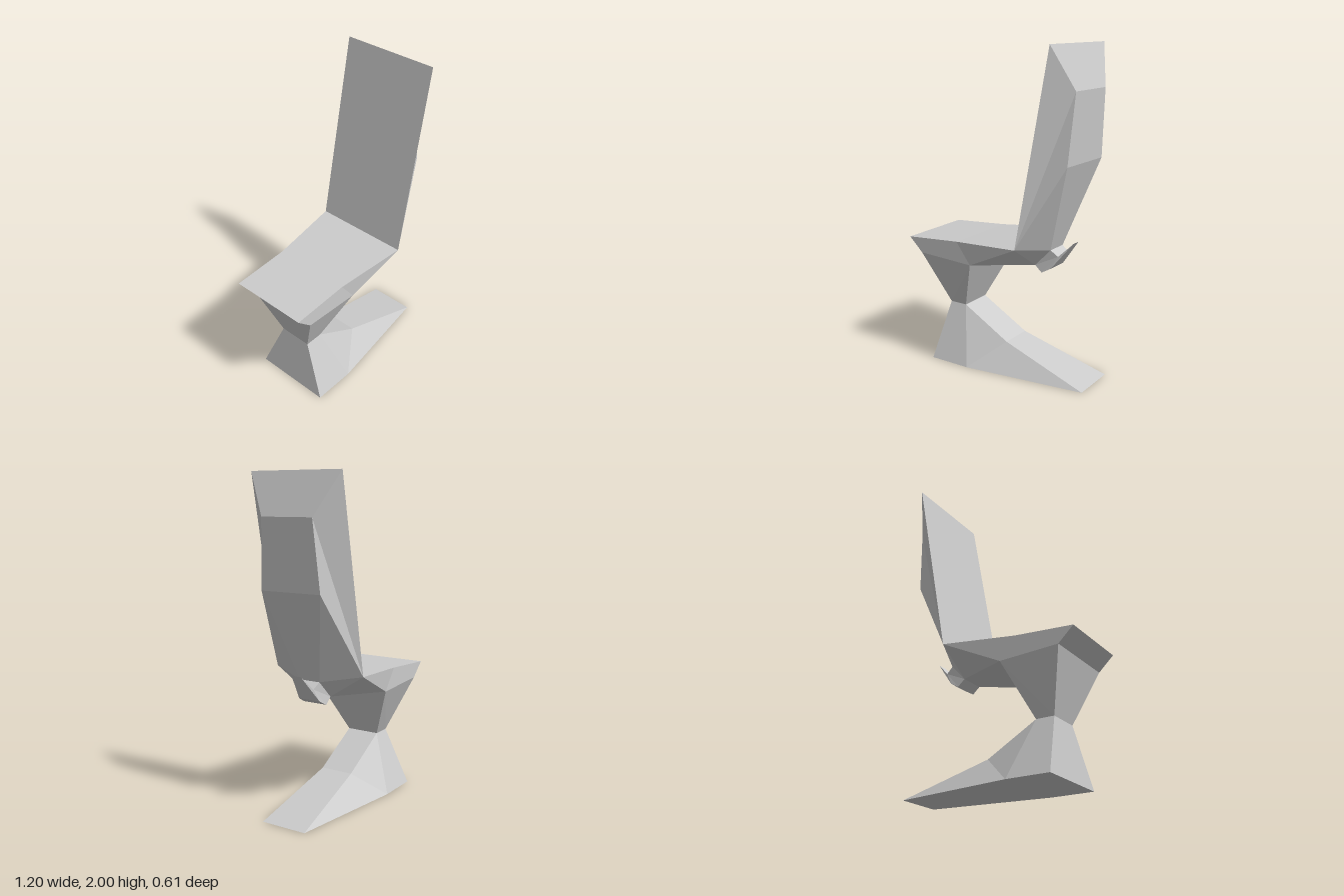
import * as THREE from 'three';

const material = new THREE.MeshStandardMaterial({ color: 0xcccccc, flatShading: true });

// Mirrored solid. profile: counter-clockwise [x, y, halfWidth] points;
// sides: triangles of profile indices for the +z flank;
// open: profile edges left out where parts join.
function mirroredSolid(name, profile, sides, open = []) {
  const pos = [];
  const put = (i, s) => pos.push(profile[i][0], profile[i][1], s * profile[i][2]);
  for (const [a, b, c] of sides) {
    put(a, 1); put(b, 1); put(c, 1);
    put(a, -1); put(c, -1); put(b, -1);
  }
  profile.forEach((_, i) => {
    if (open.includes(i)) return;
    const j = (i + 1) % profile.length;
    put(i, 1); put(i, -1); put(j, -1);
    put(i, 1); put(j, -1); put(j, 1);
  });
  const geo = new THREE.BufferGeometry();
  geo.setAttribute('position', new THREE.Float32BufferAttribute(pos, 3));
  geo.computeVertexNormals();
  const mesh = new THREE.Mesh(geo, material);
  mesh.name = name;
  return mesh;
}

export function createModel() {
  const group = new THREE.Group();
  group.name = 'chair';

  // Points shared between neighbouring parts
  const seatRear = [0.23, 0.845, 0.305];
  const seatRearLow = [0.23, 0.70, 0.08];
  const underFront = [-0.505, 0.695, 0.25];
  const underBack = [-0.13, 0.677, 0.25];
  const waistFront = [-0.39, 0.35, 0.105];
  const waistBack = [-0.275, 0.35, 0.105];
  const backLow = [0.33, 0.805, 0.07];
  const leverLow = [0.275, 0.66, 0.08];
  const leverMid = [0.375, 0.77, 0.06];

  // Foot with a long tapering toe
  group.add(mirroredSolid('foot', [
    [-0.435, 0, 0.25], [-0.165, 0, 0.25], [0.6, 0, 0.147],
    [0.04, 0.17, 0.105], waistBack, waistFront,
  ], [[0, 1, 4], [0, 4, 5], [1, 2, 3], [1, 3, 4]], [4]));

  // Pedestal flaring up from the waist to the seat
  group.add(mirroredSolid('pedestal', [waistFront, waistBack, underBack, underFront],
    [[0, 1, 2], [0, 2, 3]], [0, 2]));

  // Seat, with its underside narrowing towards the rear
  group.add(mirroredSolid('seat', [
    underFront, underBack, seatRearLow, seatRear,
    [-0.23, 0.81, 0.25], [-0.6, 0.785, 0.25],
  ], [[0, 1, 4], [0, 4, 5], [1, 2, 3], [1, 3, 4]], [0, 2]));

  // Backrest with a faceted rear
  group.add(mirroredSolid('backrest', [
    seatRear, seatRearLow, backLow, [0.508, 1.337, 0.2],
    [0.537, 1.75, 0.17], [0.45, 2, 0.305],
  ], [[0, 1, 2], [0, 2, 3], [0, 3, 4], [0, 4, 5]], [0, 1]));

  // Block and blade of the rear lever
  group.add(mirroredSolid('leverBlock', [seatRearLow, leverLow, leverMid, backLow],
    [[0, 1, 2], [0, 2, 3]], [1, 3]));
  group.add(mirroredSolid('leverBlade', [
    leverLow, [0.333, 0.692, 0.073], [0.46, 0.855, 0.032], leverMid,
  ], [[0, 1, 3], [1, 2, 3]], [3]));

  return group;
}
